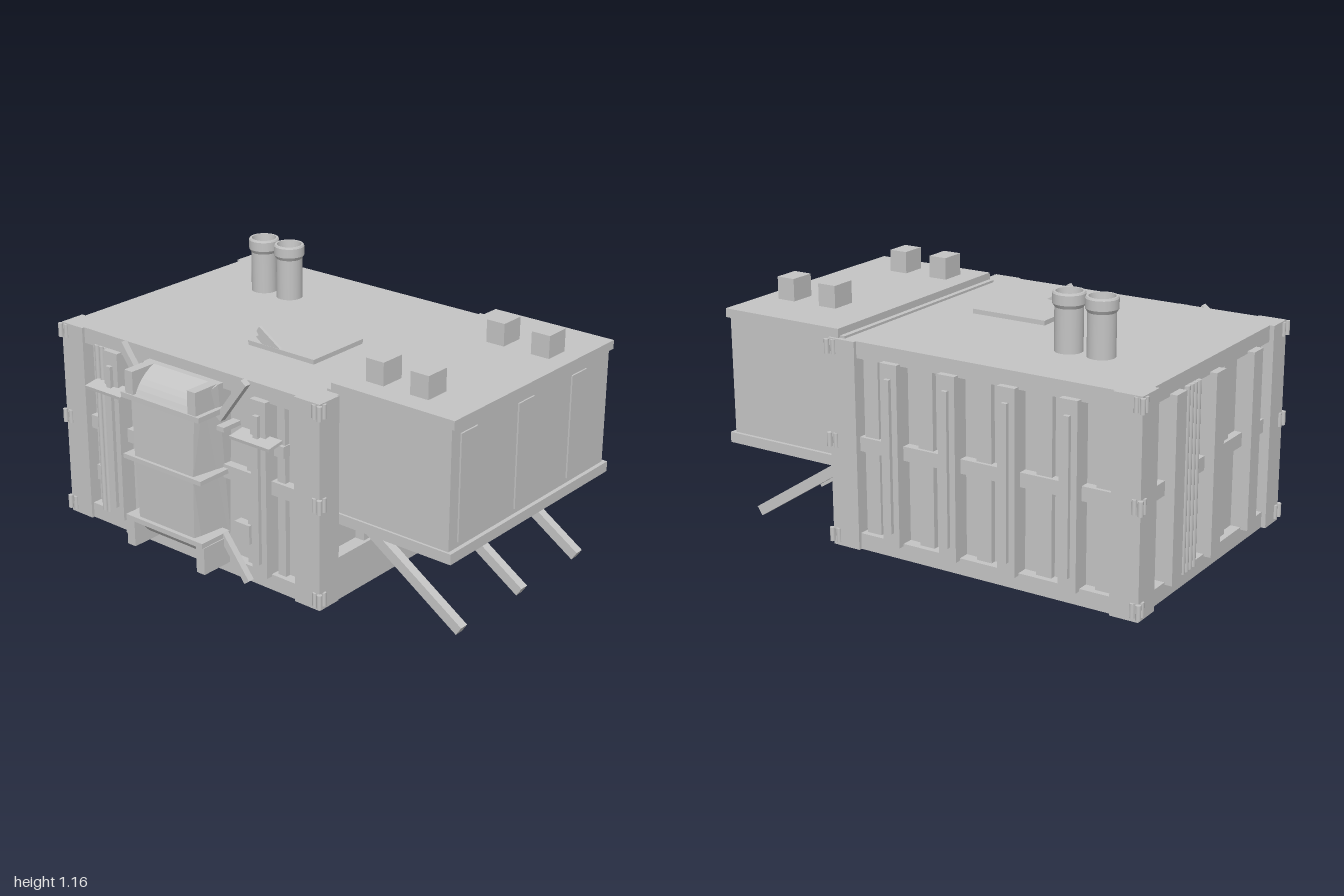
import * as THREE from 'three';

export function createModel() {
  const model = new THREE.Group();
  model.name = 'containerCabin';
  const grey = new THREE.MeshStandardMaterial({ color: 0xc4c4c4, side: THREE.DoubleSide });
  grey.name = 'paintedGrey';

  const add = (name, geo, parent = model) => {
    const m = new THREE.Mesh(geo, grey);
    m.name = name;
    parent.add(m);
    return m;
  };
  // Box given by its lower and upper limits on each axis
  const box = (name, x0, x1, y0, y1, z0, z1, parent = model) => {
    const m = add(name, new THREE.BoxGeometry(x1 - x0, y1 - y0, z1 - z0), parent);
    m.position.set((x0 + x1) / 2, (y0 + y1) / 2, (z0 + z1) / 2);
    return m;
  };
  const pipe = (name, x, y0, y1, z, r) => {
    const m = add(name, new THREE.CylinderGeometry(r, r, y1 - y0, 12));
    m.position.set(x, (y0 + y1) / 2, z);
    return m;
  };
  // Square bar running between two points in the xy plane
  const bar = (name, ax, ay, bx, by, z, thick, depth) => {
    const m = add(name, new THREE.BoxGeometry(Math.hypot(bx - ax, by - ay), thick, depth));
    m.position.set((ax + bx) / 2, (ay + by) / 2, z);
    m.rotation.z = Math.atan2(by - ay, bx - ax);
    return m;
  };

  // Recessed walls, floor and roof
  box('recessedWalls', -0.92, 0.385, 0.05, 0.9, -0.61, 0.5);
  box('floor', -0.965, 0.44, 0.03, 0.1, -0.66, 0.545);
  box('roof', -0.965, 0.44, 0.85, 0.92, -0.66, 0.545);
  box('rightSill', 0.37, 0.445, 0.03, 0.22, -0.67, 0.44);

  // Corner posts with latch lugs
  for (const [x0, x1, ex, sx] of [[-0.985, -0.86, -0.985, -1], [0.32, 0.45, 0.45, 1]]) {
    for (const [z0, z1, ez, sz] of [[-0.675, -0.55, -0.675, -1], [0.44, 0.558, 0.558, 1]]) {
      box('cornerPost', x0, x1, 0.03, 0.92, z0, z1);
      for (const y of [0.075, 0.49, 0.885]) {
        pipe('cornerLug', ex + 0.003 * sx, y - 0.03, y + 0.03, ez + 0.005 * sz, 0.011);
        pipe('faceLug', ex - 0.026 * sx, y - 0.03, y + 0.03, ez, 0.01);
        pipe('sideLug', ex, y - 0.03, y + 0.03, ez - 0.026 * sz, 0.01);
      }
    }
  }

  // Middle rails around the walls
  box('frontRail', -0.63, 0.33, 0.455, 0.515, 0.49, 0.54);
  box('frontRailEnd', -0.87, -0.8, 0.455, 0.515, 0.49, 0.53);
  box('backRail', -0.87, 0.33, 0.455, 0.515, -0.65, -0.6);
  box('leftRail', -0.955, -0.9, 0.455, 0.515, -0.56, 0.45);

  // Wall ribs: broad plate with a slim rod on its face
  for (const x of [-0.68, -0.405, -0.13, 0.145]) {
    box('backRib', x - 0.04, x + 0.04, 0.09, 0.86, -0.688, -0.6);
    box('backRod', x - 0.013, x + 0.013, 0.15, 0.8, -0.705, -0.68);
  }
  for (const x of [-0.68, 0.145]) {
    box('frontRib', x - 0.04, x + 0.04, 0.09, 0.86, 0.49, 0.573);
    box('frontRod', x - 0.013, x + 0.013, 0.15, 0.8, 0.565, 0.59);
    const shelf = box('shelf', x - 0.105, x + 0.105, 0.692, 0.706, 0.545, 0.625);
    shelf.rotation.x = 0.15;
  }
  for (const z of [-0.39, -0.06, 0.275]) {
    box('leftRib', -0.997, -0.9, 0.09, 0.86, z - 0.04, z + 0.04);
  }
  for (const z of [-0.46, -0.12, 0.225]) {
    box('rightRib', 0.37, 0.43, 0.2, 0.4, z - 0.03, z + 0.03);
  }

  // Low panel strips between the ribs
  for (const x of [-0.81, -0.545, -0.27, 0.005, 0.27]) {
    box('backStrip', x - 0.035, x + 0.035, 0.09, 0.86, -0.635, -0.6);
  }
  for (const x of [-0.56, 0.06, 0.225]) {
    box('frontStrip', x - 0.02, x + 0.02, 0.09, 0.86, 0.49, 0.525);
  }
  for (const z of [-0.5, 0.11, 0.39]) {
    box('leftStrip', -0.94, -0.9, 0.09, 0.86, z - 0.025, z + 0.025);
  }

  // Vertical pipes
  for (let i = 0; i < 4; i++) {
    pipe('leftPipe', -0.97, 0.09, 0.86, -0.3 + i * 0.03, 0.014);
    pipe('rightPipe', 0.41, 0.2, 0.4, -0.045 + i * 0.03, 0.014);
    if (i < 3) pipe('frontPipe', -0.785 + i * 0.028, 0.09, 0.86, 0.545, 0.012);
  }

  // Small wall cabinets
  box('cabinet', 0.2, 0.25, 0.63, 0.68, 0.49, 0.54);
  box('cabinet', -0.84, -0.79, 0.215, 0.285, 0.49, 0.53);
  box('cabinet', -0.02, 0.06, 0.19, 0.275, 0.49, 0.54);

  // Front bay: curved shell narrowing to the front, with bands and end cheeks
  const bay = new THREE.Group();
  bay.name = 'frontBay';
  model.add(bay);
  const cx = -0.267;
  const profile = new THREE.Shape();
  profile.moveTo(0.49, 0.1);
  profile.lineTo(0.575, 0.1);
  profile.quadraticCurveTo(0.655, 0.14, 0.685, 0.215);
  profile.lineTo(0.69, 0.49);
  profile.lineTo(0.685, 0.77);
  profile.quadraticCurveTo(0.655, 0.84, 0.575, 0.875);
  profile.lineTo(0.49, 0.875);
  const shell = new THREE.ExtrudeGeometry(profile, { depth: 2, bevelEnabled: false, curveSegments: 6 });
  const p = shell.attributes.position;
  for (let i = 0; i < p.count; i++) {
    const z = p.getX(i), y = p.getY(i), side = 1 - p.getZ(i);
    const half = 0.195 + 0.035 * (y - 0.49) - 0.03 * Math.max(0, (z - 0.56) / 0.13);
    p.setXYZ(i, cx + side * half, y, z);
  }
  shell.computeVertexNormals();
  add('bayShell', shell, bay);
  for (const [y0, y1] of [[0.2, 0.222], [0.48, 0.5], [0.752, 0.775]]) {
    box('bayBand', cx - 0.218, cx + 0.218, y0, y1, 0.54, 0.704, bay);
  }
  for (const s of [-1, 1]) {
    const u = cx + s * 0.175, l = cx + s * 0.2;
    box('upperCheek', u - 0.022, u + 0.022, 0.775, 0.875, 0.54, 0.698, bay);
    box('lowerCheek', l - 0.022, l + 0.022, 0.08, 0.2, 0.54, 0.698, bay);
    box('bayHinge', cx + s * 0.235 - 0.02, cx + s * 0.235 + 0.02, 0.69, 0.71, 0.5, 0.6, bay);
    // Diagonal braces
    bar('upperBrace', cx + s * 0.345, 0.918, cx + s * 0.205, 0.73, 0.565, 0.032, 0.03);
    bar('lowerBrace', cx + s * 0.345, 0.038, cx + s * 0.205, 0.215, 0.565, 0.032, 0.03);
  }

  // Side room on its floor slab, with roof slab and wall panels
  box('sideRoom', 0.38, 0.977, 0.4, 0.93, -0.655, 0.43);
  box('sideFloor', 0.4, 0.995, 0.372, 0.417, -0.67, 0.44);
  box('sideRoof', 0.403, 0.99, 0.922, 0.96, -0.668, 0.433);
  for (const z of [0.323, -0.053, -0.428]) {
    box('sidePanel', 0.975, 0.984, 0.44, 0.89, z - 0.053, z + 0.053);
  }
  for (const [x, z] of [[0.538, 0.277], [0.752, 0.277], [0.645, -0.373], [0.862, -0.373]]) {
    box('roofVent', x - 0.043, x + 0.043, 0.955, 1.057, z - 0.057, z + 0.057);
  }
  // Struts under the side room
  for (const z of [0.305, -0.112, -0.525]) {
    bar('strut', 0.425, 0.372, 0.962, 0.023, z, 0.045, 0.04);
  }

  // Twin chimneys with hollow caps
  const flue = [[0.058, 0.9], [0.058, 1.1], [0.067, 1.115], [0.067, 1.155], [0.063, 1.162],
    [0.054, 1.162], [0.05, 1.13], [0.05, 0.925]].map(([r, y]) => new THREE.Vector2(r, y));
  for (const x of [-0.605, -0.458]) {
    // Separate runs keep the cap edges sharp
    for (let i = 0; i < flue.length - 1; i++) {
      const part = add('chimney', new THREE.LatheGeometry([flue[i], flue[i + 1]], 20));
      part.position.set(x, 0, -0.315);
    }
  }

  // Roof hatch with its notched handle
  box('hatch', -0.19, 0.163, 0.915, 0.94, -0.06, 0.253);
  const handle = new THREE.Shape([[-0.13, 1.013], [-0.02, 0.942], [-0.1, 0.93], [-0.148, 0.965],
    [-0.132, 0.975], [-0.145, 0.99]].map(([x, y]) => new THREE.Vector2(x, y)));
  const lever = add('hatchHandle', new THREE.ExtrudeGeometry(handle, { depth: 0.014, bevelEnabled: false }));
  lever.position.z = 0.238;

  return model;
}
